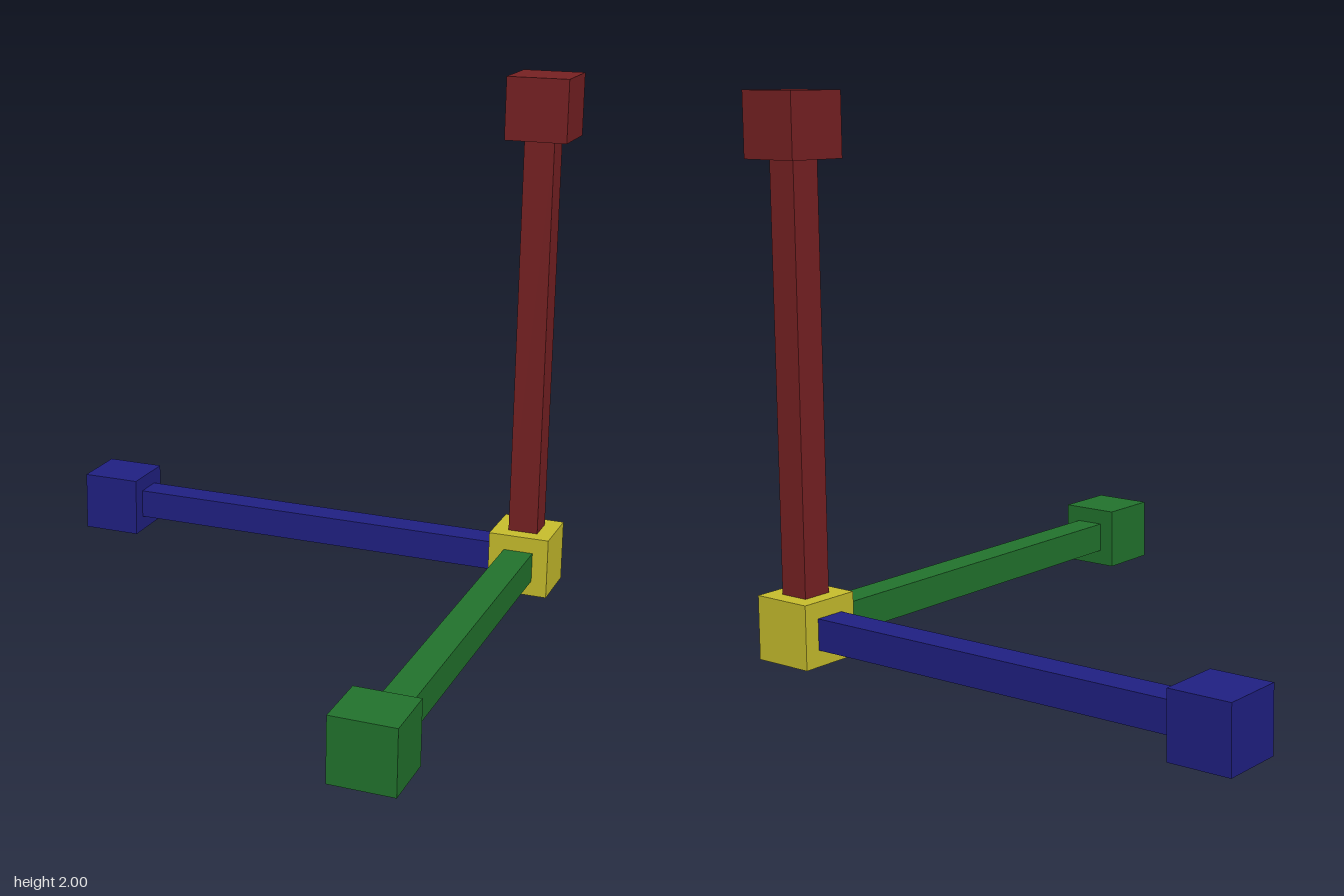
import * as THREE from 'three';

const CUBE = 0.234; // edge of the end and corner cubes
const BAR = 0.114; // thickness of the bars
const C = 1 - CUBE / 2; // distance of cube centres from the middle

function material(name, color) {
  const m = new THREE.MeshStandardMaterial({ color });
  m.name = name;
  return m;
}

function box(name, size, position, mat) {
  const mesh = new THREE.Mesh(new THREE.BoxGeometry(...size), mat);
  mesh.name = name;
  mesh.position.set(...position);
  return mesh;
}

export function createModel() {
  const model = new THREE.Group();
  model.name = 'axisMarker';

  // Corner cube where the three arms meet
  const corner = [C, CUBE / 2, -C];
  model.add(box('cornerCube', [CUBE, CUBE, CUBE], corner, material('yellow', 0xc9bf2d)));

  // Arms: a square bar from the corner with a cube at its far end
  const arms = [
    { name: 'sideArm', axis: 0, sign: -1, mat: material('blue', 0x202084) },
    { name: 'uprightArm', axis: 1, sign: 1, mat: material('red', 0x782123) },
    { name: 'frontArm', axis: 2, sign: 1, mat: material('green', 0x22742d) },
  ];
  for (const { name, axis, sign, mat } of arms) {
    const arm = new THREE.Group();
    arm.name = name;
    const along = (d) => corner.map((v, i) => (i === axis ? v + sign * d : v));
    const size = [BAR, BAR, BAR];
    size[axis] = 2 - 2 * CUBE;
    arm.add(box(name + 'Bar', size, along(C), mat));
    arm.add(box(name + 'EndCube', [CUBE, CUBE, CUBE], along(2 * C), mat));
    model.add(arm);
  }
  return model;
}
